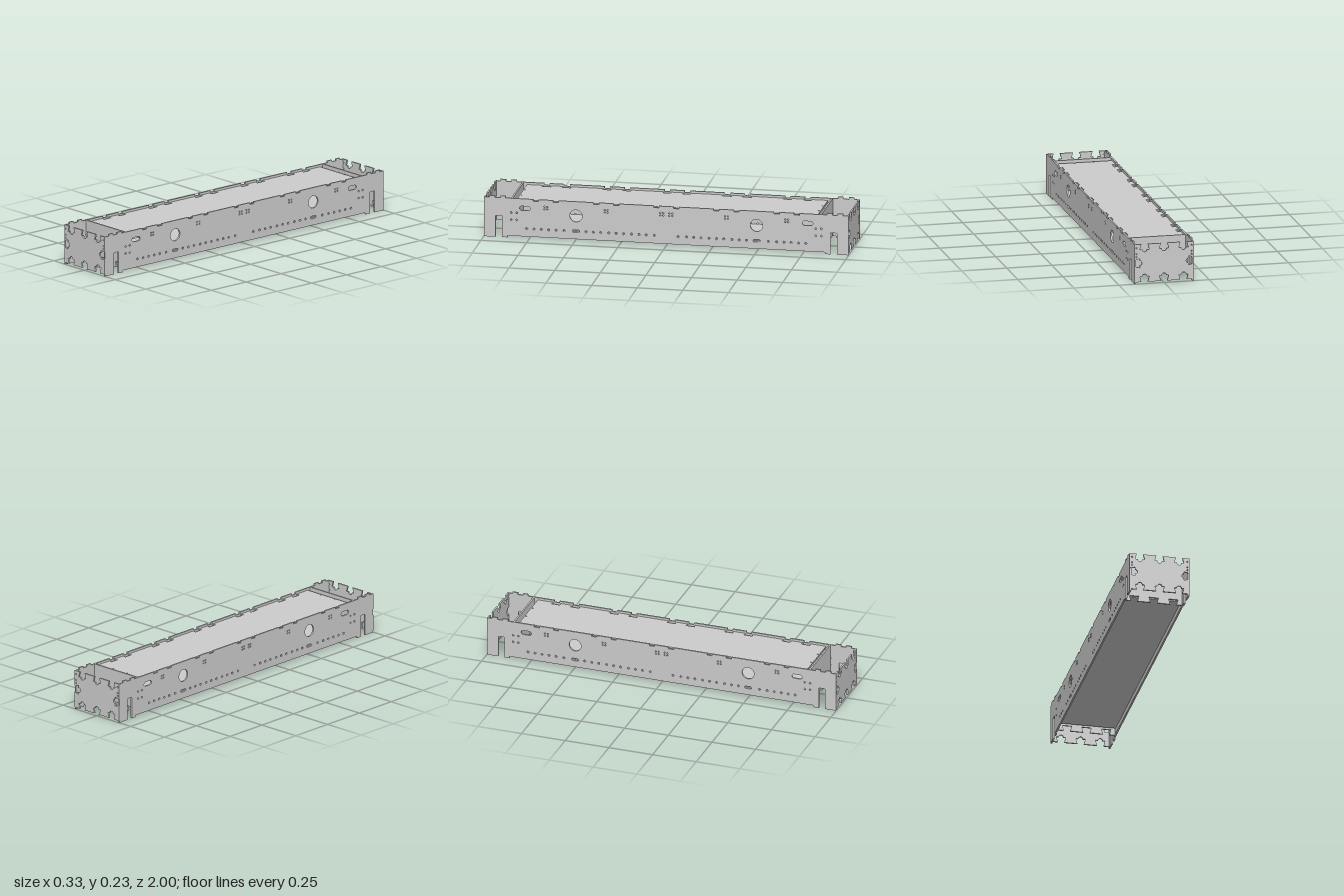
import * as THREE from 'three';

const T = 0.009; // sheet thickness
const mat = new THREE.MeshStandardMaterial({ color: 0xcccccc, flatShading: true, side: THREE.DoubleSide });

// Notch on an edge: centre, mouth width, inner width, depth (negative = tab), relief radius
const notch = (at, mouth, inner, depth, r = 0) => ({ at, mouth, inner, depth, r });

// Walk a counter-clockwise edge from a to b, cutting the notches; 'at' is measured from the midpoint
function edge(pts, a, b, notches = []) {
  const A = new THREE.Vector2(...a), B = new THREE.Vector2(...b);
  const dir = B.clone().sub(A).normalize();
  const mid = A.clone().add(B).multiplyScalar(0.5);
  const put = (s, d) => pts.push(new THREE.Vector2(mid.x + dir.x * s - dir.y * d, mid.y + dir.y * s + dir.x * d));
  pts.push(A);
  for (const n of [...notches].sort((p, q) => p.at - q.at)) {
    put(n.at - n.mouth / 2, 0);
    put(n.at - n.inner / 2, n.depth);
    if (n.r) for (let i = 0; i <= 8; i++) {
      const t = Math.PI * i / 8;
      put(n.at - n.r * Math.cos(t), n.depth + n.r * Math.sin(t));
    }
    put(n.at + n.inner / 2, n.depth);
    put(n.at + n.mouth / 2, 0);
  }
}

// Rectangular sheet with notched edges
function outline(x0, y0, x1, y1, { bottom, right, top, left } = {}) {
  const pts = [];
  edge(pts, [x0, y0], [x1, y0], bottom);
  edge(pts, [x1, y0], [x1, y1], right);
  edge(pts, [x1, y1], [x0, y1], top);
  edge(pts, [x0, y1], [x0, y0], left);
  return new THREE.Shape(pts);
}

function round(shape, x, y, r) {
  shape.holes.push(new THREE.Path().absarc(x, y, r, 0, Math.PI * 2, true));
}

function slot(shape, x, y, w, h) {
  const r = h / 2, p = new THREE.Path();
  p.absarc(x - w / 2 + r, y, r, Math.PI * 1.5, Math.PI / 2, true);
  p.absarc(x + w / 2 - r, y, r, Math.PI / 2, -Math.PI / 2, true);
  shape.holes.push(p);
}

// Extruded sheet centred on its own thickness
function sheet(shape, segs = 8) {
  const g = new THREE.ExtrudeGeometry(shape, { depth: T, bevelEnabled: false, curveSegments: segs });
  return g.translate(0, 0, -T / 2);
}

function add(group, name, geo, x, y, z) {
  const m = new THREE.Mesh(geo, mat);
  m.name = name;
  m.position.set(x, y, z);
  group.add(m);
}

export function createModel() {
  const model = new THREE.Group();
  model.name = 'sheetFrame';
  const joints = [-0.715, -0.605, -0.385, -0.275, -0.055, 0.055, 0.275, 0.385, 0.605, 0.715];

  // Long side walls with legs, corner tabs, openings and bolt holes
  const bottomCuts = [notch(0, 1.74, 1.74, 0.01)];
  const topCuts = joints.map(z => notch(z, 0.03, 0.03, 0.01));
  for (const s of [-1, 1]) {
    bottomCuts.push(notch(s * 0.9175, 0.035, 0.035, 0.12));
    topCuts.push(notch(s * 0.955, 0.03, 0.03, -0.01), notch(s * 0.895, 0.03, 0.03, -0.01));
  }
  const wall = outline(-0.998, 0, 0.998, 0.22, { bottom: bottomCuts, top: topCuts });
  for (const s of [-1, 1]) {
    round(wall, s * 0.495, 0.14, 0.034);
    slot(wall, s * 0.775, 0.167, 0.058, 0.024);
    slot(wall, s * 0.495, 0.054, 0.04, 0.014);
    for (const z of [0.065, 0.11, 0.15, 0.19, 0.235, 0.275, 0.315, 0.36, 0.4, 0.44, 0.56, 0.605, 0.645, 0.685, 0.725, 0.765])
      round(wall, s * z, 0.054, 0.006);
    for (const z of [0.025, 0.33, 0.66]) for (const dz of [-0.008, 0.008]) for (const dy of [-0.007, 0.007])
      round(wall, s * z + dz, 0.175 + dy, 0.004);
    for (const z of [0.82, 0.85]) for (const y of [0.1, 0.14]) round(wall, s * z, y, 0.005);
  }
  const wallGeo = sheet(wall, 12).rotateY(-Math.PI / 2);
  add(model, 'leftWall', wallGeo, 0.1605, 0, 0);
  add(model, 'rightWall', wallGeo, -0.1605, 0, 0);

  // Outer end plates with dovetail notches on all four edges
  const row = [-0.108, 0, 0.108];
  const dovetails = row.map(x => notch(x, 0.036, 0.052, 0.03, 0.013));
  const sideTail = [notch(0, 0.036, 0.05, 0.03, 0.013)];
  const endPlate = outline(-0.165, 0.01, 0.165, 0.22, { bottom: dovetails, top: dovetails, left: sideTail, right: sideTail });
  for (const s of [-1, 1]) for (const y of [0.15, 0.167, 0.2]) round(endPlate, s * 0.153, y, 0.004);

  // Inner bulkheads, notched below only
  const bulkhead = outline(-0.156, 0.01, 0.156, 0.22, { bottom: row.map(x => notch(x, 0.036, 0.052, 0.03)) });

  const endGeo = sheet(endPlate), bulkGeo = sheet(bulkhead);
  for (const s of [-1, 1]) {
    const end = s > 0 ? 'front' : 'back';
    add(model, end + 'EndPlate', endGeo, 0, 0, s * (1 - T / 2));
    add(model, end + 'Bulkhead', bulkGeo, 0, 0, s * 0.847);
  }

  // Upper deck with paired dovetails along both sides
  const tails = joints.map(z => notch(z, 0.038, 0.05, 0.02));
  const deck = outline(-0.157, -0.825, 0.157, 0.825, { left: tails, right: tails });
  for (const s of [-1, 1]) for (const x of [-0.052, 0.052]) round(deck, x, s * 0.815, 0.004);
  add(model, 'upperDeck', sheet(deck).rotateX(-Math.PI / 2), 0, 0.203, 0);

  // Plain lower deck
  add(model, 'lowerDeck', new THREE.BoxGeometry(0.314, 0.012, 1.65), 0, 0.048, 0);
  return model;
}
